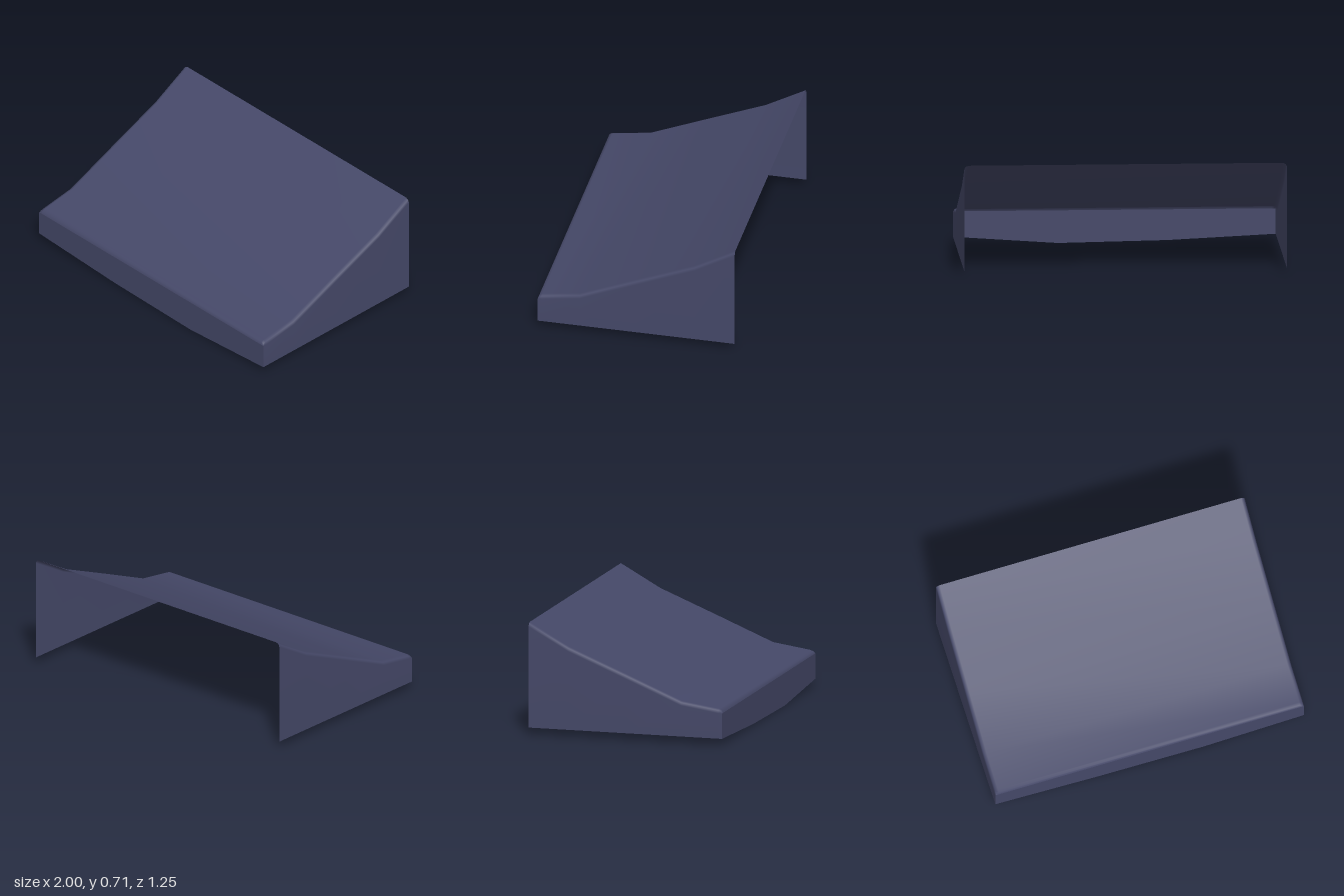
import * as THREE from 'three';

export function createModel() {
  const group = new THREE.Group();
  group.name = 'slopedCover';
  const slate = new THREE.MeshStandardMaterial({ color: 0x454868, side: THREE.DoubleSide });
  slate.name = 'slateBlue';

  const baseY = 0.045;
  const frontZ = 0.625;
  const lipY = 0.205;

  // Slope from front lip to back edge: z, y, strength of the side bevel
  const stations = [
    [frontZ, lipY, 0], [0.618, 0.222, 0.68], [0.6, 0.23, 1], [0.36, 0.265, 1],
    [0, 0.414, 1], [-0.37, 0.565, 1], [-0.625, 0.707, 1],
  ];
  // Rounded edge towards one side: x, drop below the slope (null = down to the base)
  const edge = [[1, null], [1, 0.025], [0.993, 0.008], [0.975, 0]];
  const columns = [
    ...edge.map(([x, drop]) => [-x, drop]),
    ...edge.slice().reverse(),
  ];

  // Side walls, rounded edges and sloping top as one open sheet
  const positions = [];
  const index = [];
  const n = columns.length;
  stations.forEach(([z, y, bevel], r) => {
    columns.forEach(([x, drop], c) => {
      positions.push(x, drop === null ? baseY : y - drop * bevel, z);
      if (r < stations.length - 1 && c < n - 1) {
        const a = r * n + c;
        index.push(a, a + 1, a + n, a + 1, a + n + 1, a + n);
      }
    });
  });
  const sheet = new THREE.BufferGeometry();
  sheet.setAttribute('position', new THREE.Float32BufferAttribute(positions, 3));
  sheet.setIndex(index);
  sheet.computeVertexNormals();
  const cover = new THREE.Mesh(sheet, slate);
  cover.name = 'topAndSides';
  group.add(cover);

  // Front wall with a drooping lower edge
  const outline = new THREE.Shape([
    [-1, baseY], [-0.33, 0.012], [0.35, 0], [1, baseY], [1, lipY], [-1, lipY],
  ].map(([x, y]) => new THREE.Vector2(x, y)));
  const front = new THREE.Mesh(new THREE.ShapeGeometry(outline), slate);
  front.name = 'frontWall';
  front.position.z = frontZ;
  group.add(front);

  return group;
}
